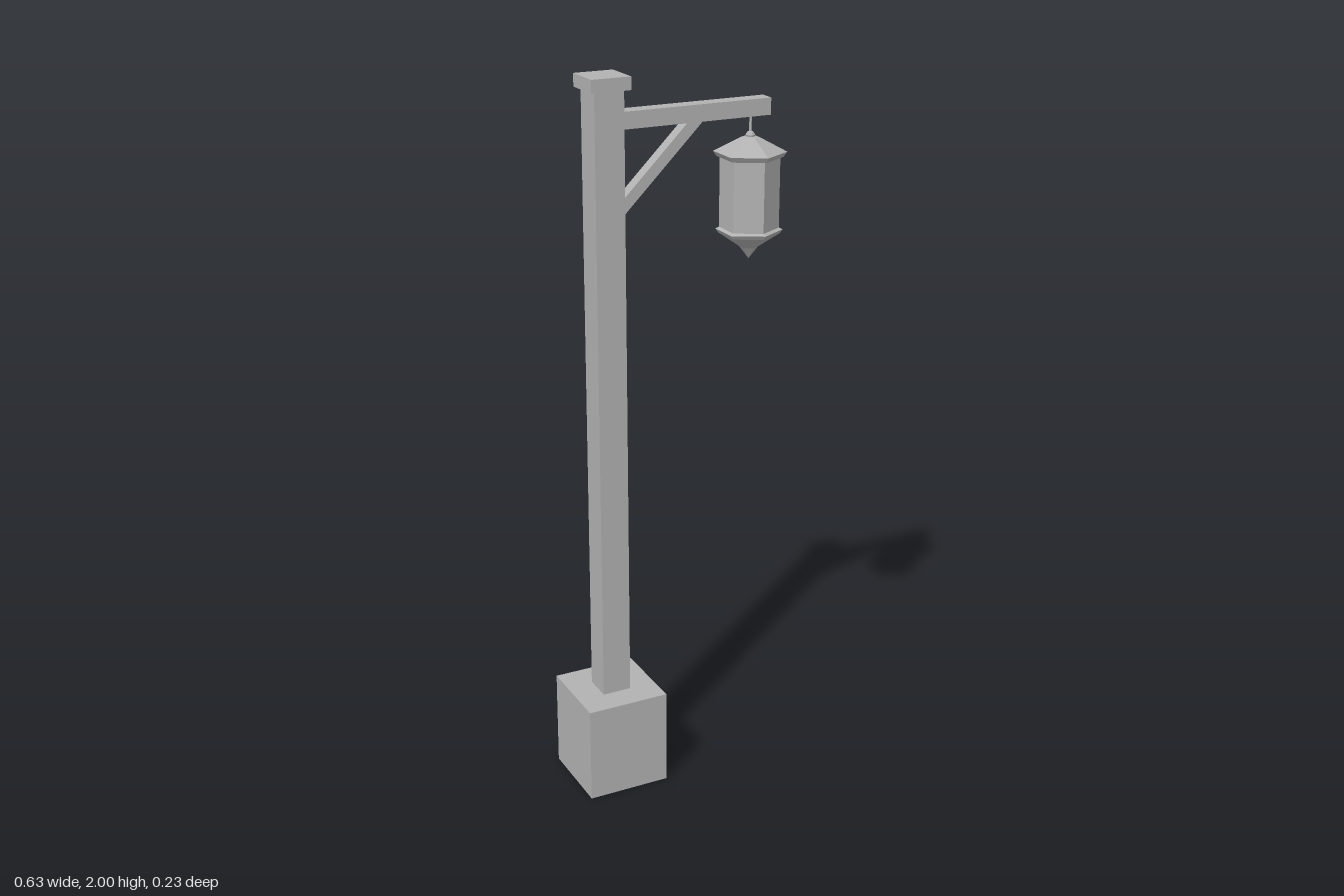
import * as THREE from 'three';

export function createModel() {
  const model = new THREE.Group();
  model.name = 'lampPost';
  const grey = new THREE.MeshStandardMaterial({ color: 0xb2b2b2, flatShading: true });
  grey.name = 'plain grey';

  const add = (name, geometry, x, y, z = 0, parent = model) => {
    const mesh = new THREE.Mesh(geometry, grey);
    mesh.name = name;
    mesh.position.set(x, y, z);
    parent.add(mesh);
    return mesh;
  };
  // Box standing between two heights
  const block = (name, w, d, y0, y1, x) =>
    add(name, new THREE.BoxGeometry(w, y1 - y0, d), x, (y0 + y1) / 2);
  // Six-sided part turned from [radius, height] points, bottom to top
  const hexTurned = (name, points, parent) =>
    add(name, new THREE.LatheGeometry(points.map(([r, y]) => new THREE.Vector2(r, y)), 6), 0, 0, 0, parent);

  // Upright
  const postX = -0.197;
  block('base', 0.235, 0.235, 0, 0.275, postX);
  block('post', 0.082, 0.082, 0.275, 1.966, postX);
  block('cap', 0.109, 0.109, 1.966, 2, postX);

  // Arm and its diagonal brace
  const armStart = -0.165, armEnd = 0.275;
  block('arm', armEnd - armStart, 0.045, 1.862, 1.907, (armStart + armEnd) / 2);
  const low = new THREE.Vector2(-0.157, 1.653), high = new THREE.Vector2(0.066, 1.873);
  const span = high.clone().sub(low);
  const brace = add('brace', new THREE.BoxGeometry(span.length(), 0.031, 0.036),
    (low.x + high.x) / 2, (low.y + high.y) / 2);
  brace.rotation.z = span.angle();

  // Hanging lantern
  const lantern = new THREE.Group();
  lantern.name = 'lantern';
  lantern.position.x = 0.227;
  model.add(lantern);
  add('hangingRod', new THREE.CylinderGeometry(0.0035, 0.0035, 0.06, 6), 0, 1.837, 0, lantern);
  hexTurned('knob', [[0.008, 1.795], [0.013, 1.81], [0.008, 1.818], [0, 1.822]], lantern);
  hexTurned('roof', [[0, 1.752], [0.088, 1.752], [0.098, 1.766], [0.024, 1.804], [0, 1.808]], lantern);
  hexTurned('panes', [[0.08, 1.552], [0.08, 1.758]], lantern);
  hexTurned('bottomFinial', [[0, 1.475], [0.025, 1.508], [0.082, 1.545], [0.09, 1.556], [0.08, 1.561], [0, 1.561]], lantern);

  return model;
}
